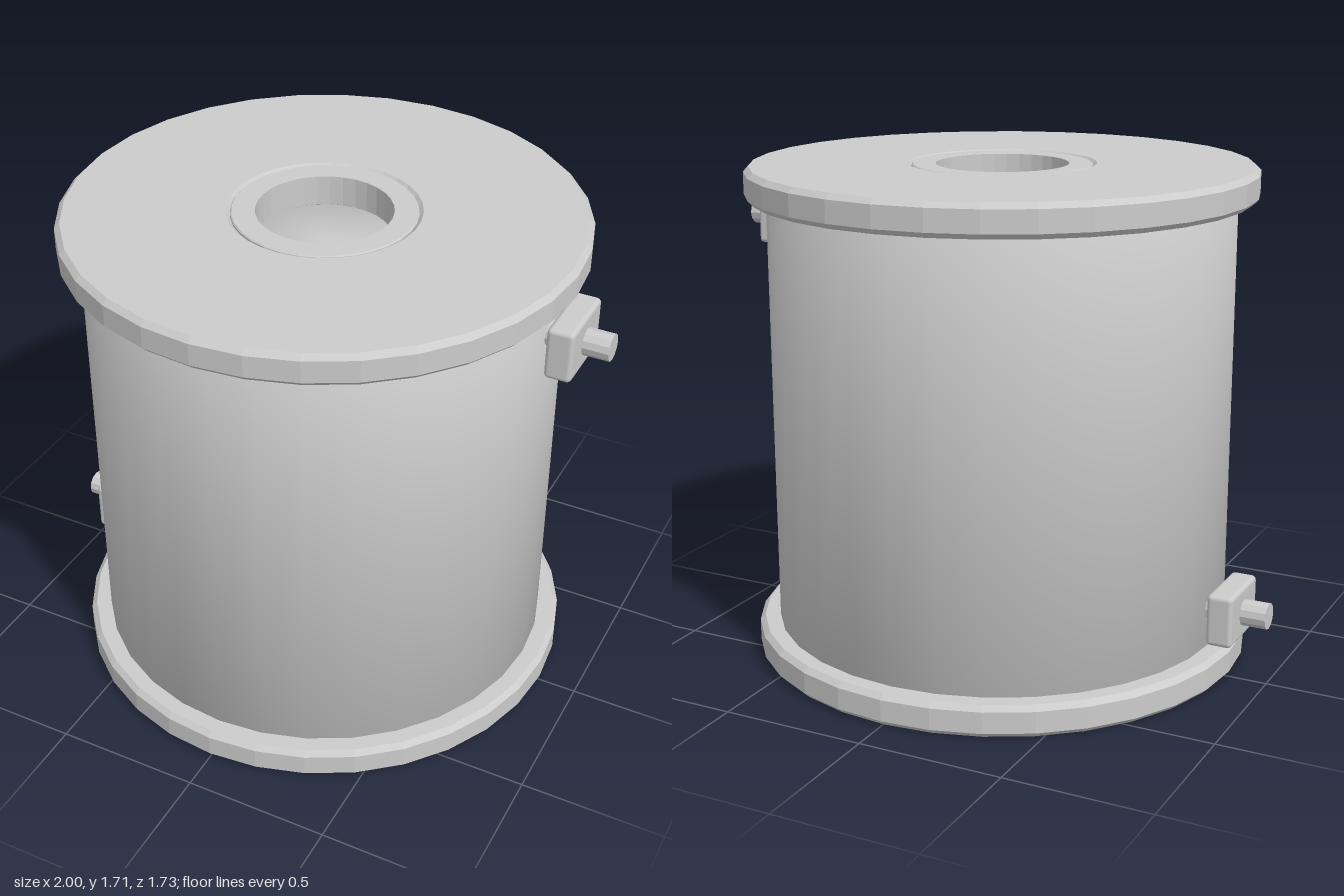
import * as THREE from 'three';
import { mergeVertices } from 'three/addons/utils/BufferGeometryUtils.js';
import { RoundedBoxGeometry } from 'three/addons/geometries/RoundedBoxGeometry.js';

const SIDES = 32;
const HEIGHT = 1.705;
const FLANGE = 0.11;

const smooth = new THREE.MeshStandardMaterial({ color: 0xcccccc });
const faceted = new THREE.MeshStandardMaterial({ color: 0xcccccc, flatShading: true });

// Ring with bevelled edges, standing on y = 0
function bevelledRing(inner, outer, height, bevelIn, bevelOut) {
  const profile = [
    [inner + bevelIn, 0], [outer - bevelOut, 0], [outer, bevelOut],
    [outer, height - bevelOut], [outer - bevelOut, height],
    [inner + bevelIn, height], [inner, height - bevelIn],
    [inner, bevelIn], [inner + bevelIn, 0],
  ].map(([r, y]) => new THREE.Vector2(r, y));
  return new THREE.LatheGeometry(profile, SIDES);
}

function addMesh(parent, name, geometry, material, x = 0, y = 0, z = 0) {
  const mesh = new THREE.Mesh(geometry, material);
  mesh.name = name;
  mesh.position.set(x, y, z);
  parent.add(mesh);
  return mesh;
}

// Body: closed cylinder whose caps share smooth normals with the wall
function bodyGeometry() {
  let geometry = new THREE.CylinderGeometry(0.795, 0.795, HEIGHT - 2 * FLANGE, SIDES);
  geometry.deleteAttribute('normal');
  geometry.deleteAttribute('uv');
  geometry = mergeVertices(geometry);
  geometry.computeVertexNormals();
  return geometry;
}

// Flange with a narrow seam around an almost flush hub, open in the middle
function createFlange(name, y) {
  const flange = new THREE.Group();
  flange.name = name;
  flange.position.y = y;
  addMesh(flange, 'flangeDisc', bevelledRing(0.305, 0.867, FLANGE, 0.014, 0.018), faceted);
  addMesh(flange, 'hubRing', bevelledRing(0.225, 0.306, FLANGE - 0.004, 0.001, 0.004), faceted, 0, 0.002);
  return flange;
}

// Terminal: rounded block threaded on a short horizontal pin
function createTerminal(name, side, y) {
  const terminal = new THREE.Group();
  terminal.name = name;
  terminal.position.y = y;
  addMesh(terminal, 'block', new RoundedBoxGeometry(0.09, 0.18, 0.255, 2, 0.016), smooth, side * 0.867);
  const pin = addMesh(terminal, 'pin', new THREE.CylinderGeometry(0.045, 0.045, 0.25, 12), faceted, side * 0.875);
  pin.rotation.z = Math.PI / 2;
  return terminal;
}

export function createModel() {
  const model = new THREE.Group();
  model.name = 'spool';
  addMesh(model, 'body', bodyGeometry(), smooth, 0, HEIGHT / 2);
  model.add(
    createFlange('bottomFlange', 0),
    createFlange('topFlange', HEIGHT - FLANGE),
    createTerminal('upperTerminal', 1, 1.465),
    createTerminal('lowerTerminal', -1, 0.245),
  );
  return model;
}
